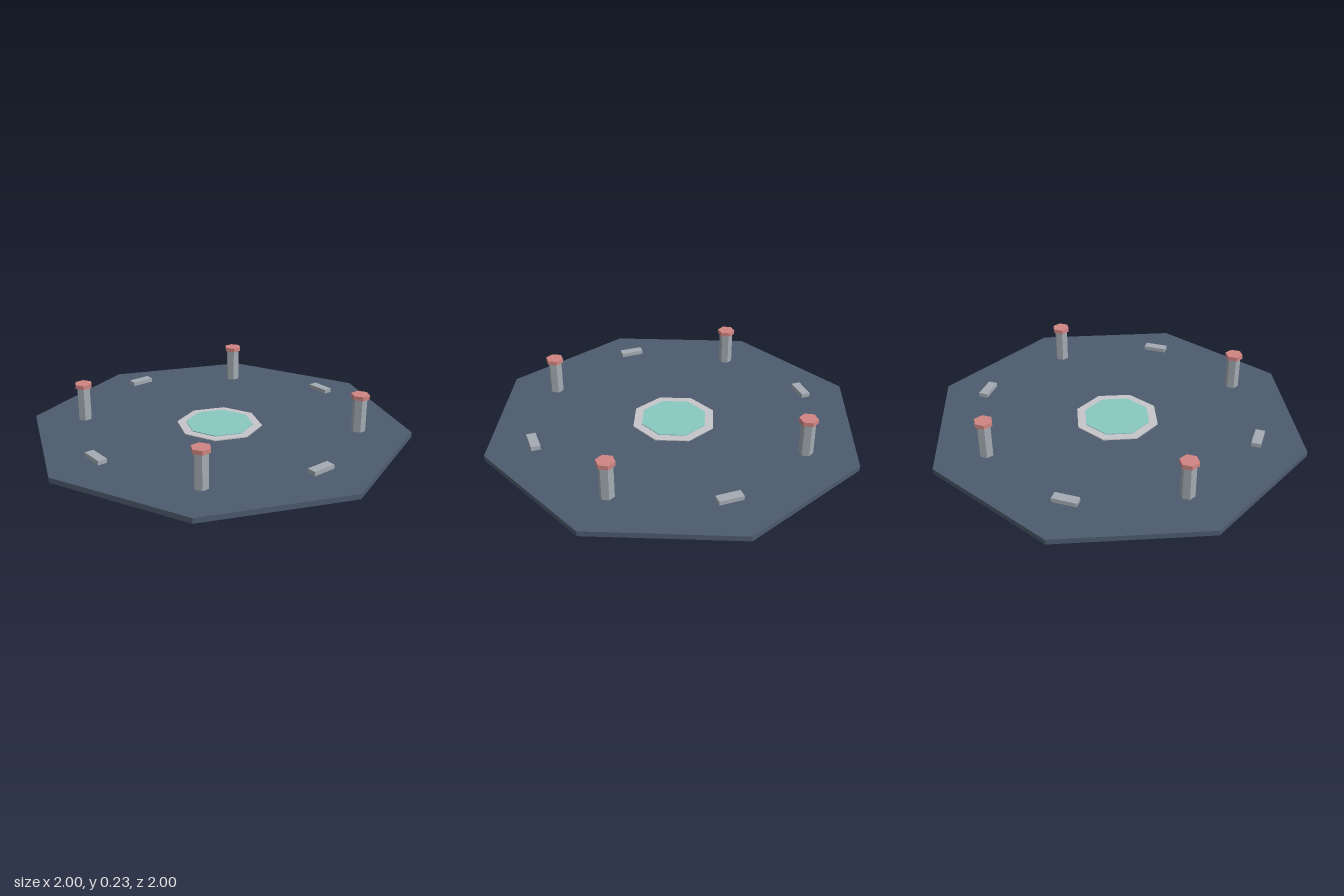
import * as THREE from 'three';

export function createModel() {
  const model = new THREE.Group();
  model.name = 'landingPlatform';

  const paint = (name, color) => {
    const m = new THREE.MeshStandardMaterial({ color, flatShading: true });
    m.name = name;
    return m;
  };
  const slate = paint('slate', 0x4d5b6e);
  const silver = paint('silver', 0xc6c5c9);
  const teal = paint('teal', 0x88c8c0);
  const steel = paint('steel', 0xa3abb2);
  const red = paint('dusty red', 0xcf8582);

  const add = (parent, name, geometry, material, x, y, z) => {
    const mesh = new THREE.Mesh(geometry, material);
    mesh.name = name;
    mesh.position.set(x, y, z);
    parent.add(mesh);
    return mesh;
  };
  // Upright prism from height y0 to y1
  const prism = (parent, name, radius, y0, y1, sides, material) =>
    add(parent, name, new THREE.CylinderGeometry(radius, radius, y1 - y0, sides),
      material, 0, (y0 + y1) / 2, 0);

  // Octagonal deck with the central ring and lit disc
  prism(model, 'deck', 1, 0, 0.027, 8, slate);
  prism(model, 'centreRing', 0.225, 0.027, 0.032, 8, silver);
  prism(model, 'centreDisc', 0.178, 0.032, 0.036, 8, teal);

  // Four hexagonal posts with wider caps
  for (const x of [-0.513, 0.513]) {
    for (const z of [-0.513, 0.513]) {
      const post = new THREE.Group();
      post.name = 'post';
      post.position.set(x, 0, z);
      prism(post, 'postShaft', 0.037, 0.027, 0.205, 6, steel);
      prism(post, 'postCap', 0.048, 0.205, 0.227, 6, red);
      model.add(post);
    }
  }

  // Four marker bars hovering just above the deck
  for (let i = 0; i < 4; i++) {
    const a = (i * Math.PI) / 2;
    const bar = add(model, 'markerBar', new THREE.BoxGeometry(0.125, 0.022, 0.048), steel,
      0.75 * Math.sin(a), 0.054, 0.75 * Math.cos(a));
    bar.rotation.y = a;
  }

  return model;
}
